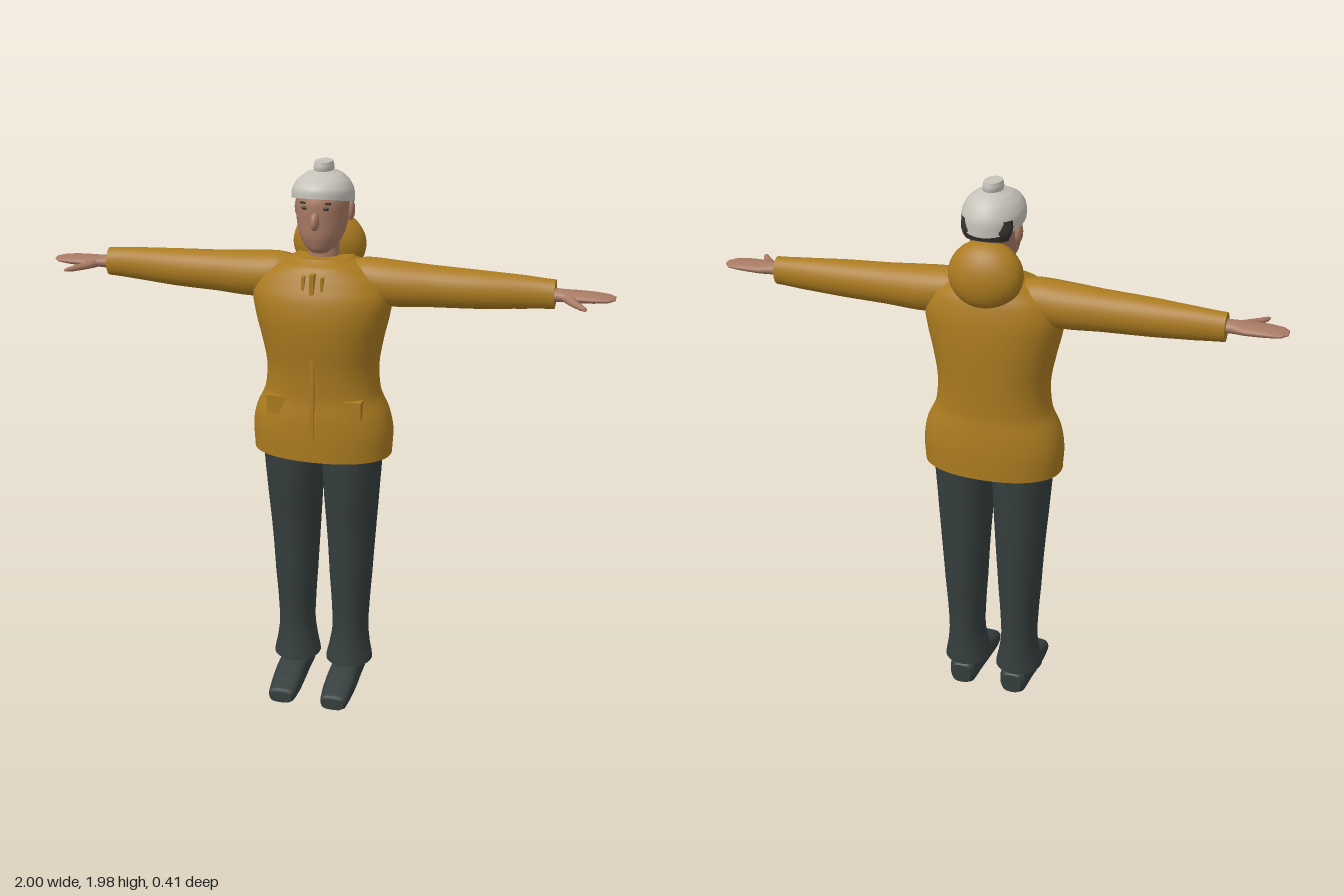
import * as THREE from 'three';

const material = (name, color) => {
  const m = new THREE.MeshStandardMaterial({ color });
  m.name = name;
  return m;
};

// Smooth loft along an axis; each section is [position, u0, u1, v0, v1].
// Bounds u, v are (y, z) for axis x, (z, x) for axis y, (x, y) for axis z.
function loft(axis, sections, { power = 2, sides = 32, steps = 4 } = {}) {
  const n = sections.length, rows = [];
  const spline = (a, b, c, d, t) =>
    0.5 * (2 * b + (c - a) * t + (2 * a - 5 * b + 4 * c - d) * t * t + (3 * b - a - 3 * c + d) * t ** 3);
  for (let i = 0; i < n - 1; i++) {
    const [a, b, c, d] = [Math.max(i - 1, 0), i, i + 1, Math.min(i + 2, n - 1)].map(k => sections[k]);
    for (let s = 0; s < steps; s++) {
      const t = s / steps;
      rows.push(b.map((_, k) => k === 0 ? b[0] + (c[0] - b[0]) * t : spline(a[k], b[k], c[k], d[k], t)));
    }
  }
  rows.push(sections[n - 1]);
  const pos = [], index = [];
  const put = (u, v, w) => pos.push(...(axis === 'x' ? [w, u, v] : axis === 'y' ? [v, w, u] : [u, v, w]));
  const bend = c => Math.sign(c) * Math.abs(c) ** (2 / power);
  const ring = ([w, u0, u1, v0, v1]) => {
    for (let i = 0; i < sides; i++) {
      const a = i / sides * Math.PI * 2;
      put((u0 + u1) / 2 + (u1 - u0) / 2 * bend(Math.cos(a)), (v0 + v1) / 2 + (v1 - v0) / 2 * bend(Math.sin(a)), w);
    }
  };
  rows.forEach(ring);
  for (let j = 0; j < rows.length - 1; j++) {
    for (let i = 0; i < sides; i++) {
      const k = (i + 1) % sides, p = j * sides, q = p + sides;
      index.push(p + i, p + k, q + k, p + i, q + k, q + i);
    }
  }
  // Flat end caps with their own vertices
  [rows[0], rows[rows.length - 1]].forEach((r, end) => {
    const base = pos.length / 3;
    ring(r);
    put((r[1] + r[2]) / 2, (r[3] + r[4]) / 2, r[0]);
    for (let i = 0; i < sides; i++) {
      const k = (i + 1) % sides;
      index.push(base + sides, base + (end ? i : k), base + (end ? k : i));
    }
  });
  const g = new THREE.BufferGeometry();
  g.setAttribute('position', new THREE.Float32BufferAttribute(pos, 3));
  g.setIndex(index);
  g.computeVertexNormals();
  return g;
}

// Reflected copy across x = 0, with the corner order reversed
function mirror(geometry) {
  const g = geometry.clone(), ix = g.index.array, p = g.attributes.position, nm = g.attributes.normal;
  for (let i = 0; i < p.count; i++) {
    p.setX(i, -p.getX(i));
    nm.setX(i, -nm.getX(i));
  }
  for (let i = 0; i < ix.length; i += 3) [ix[i], ix[i + 1]] = [ix[i + 1], ix[i]];
  return g;
}

const box = (x0, x1, y0, y1, z0, z1) =>
  new THREE.BoxGeometry(x1 - x0, y1 - y0, z1 - z0).translate((x0 + x1) / 2, (y0 + y1) / 2, (z0 + z1) / 2);
const ball = (rx, ry, rz, x, y, z, tilt = 0) =>
  new THREE.SphereGeometry(1, 28, 20).scale(rx, ry, rz).rotateX(tilt).translate(x, y, z);

export function createModel() {
  const model = new THREE.Group();
  model.name = 'standingFigure';
  const jacket = material('ochre jacket', 0xab7b20);
  const trousers = material('charcoal trousers', 0x353e3d);
  const skin = material('skin', 0xa87a64);
  const hat = material('pale hat', 0xc6c3ba);
  const hair = material('dark hair', 0x34332f);

  const add = (name, geometry, mat) => {
    const m = new THREE.Mesh(geometry, mat);
    m.name = name;
    model.add(m);
  };
  const pair = (name, geometry, mat) => {
    add(name + 'Left', geometry, mat);
    add(name + 'Right', mirror(geometry), mat);
  };

  // Jacket body, from hem to collar
  add('jacketBody', loft('y', [
    [0.95, -0.19, 0.122, -0.25, 0.25], [1.04, -0.19, 0.123, -0.254, 0.254],
    [1.11, -0.185, 0.12, -0.24, 0.24], [1.18, -0.178, 0.113, -0.208, 0.208],
    [1.28, -0.18, 0.119, -0.2, 0.2], [1.38, -0.184, 0.134, -0.217, 0.217],
    [1.47, -0.184, 0.14, -0.238, 0.238], [1.54, -0.178, 0.13, -0.245, 0.245],
    [1.6, -0.165, 0.105, -0.215, 0.215], [1.64, -0.145, 0.085, -0.155, 0.155],
    [1.665, -0.125, 0.05, -0.1, 0.1],
  ], { power: 2.2, sides: 40 }), jacket);
  add('hood', ball(0.13, 0.118, 0.083, 0, 1.688, -0.118, 0.15), jacket);
  // Zip placket and collar cords
  add('lowerPlacket', box(-0.008, 0.008, 1.04, 1.33, 0.08, 0.127), jacket);
  add('upperPlacket', box(-0.008, 0.008, 1.53, 1.63, 0.07, 0.122), jacket);
  pair('collarCord', box(0.028, 0.038, 1.565, 1.62, 0.07, 0.115), jacket);
  // Pockets
  pair('pocketFlap', box(0.04, 0.17, 1.115, 1.18, 0.04, 0.1), jacket);
  pair('pocket', box(0.045, 0.14, 1.05, 1.15, 0.04, 0.096), jacket);

  // Sleeves, hands and thumbs
  pair('sleeve', loft('x', [
    [0.1, 1.535, 1.655, -0.1, 0.025], [0.16, 1.507, 1.665, -0.112, 0.042],
    [0.26, 1.5, 1.66, -0.112, 0.042], [0.38, 1.507, 1.652, -0.105, 0.03],
    [0.55, 1.513, 1.645, -0.1, 0.018], [0.7, 1.523, 1.637, -0.094, -0.002],
    [0.8, 1.53, 1.63, -0.088, -0.008],
  ]), jacket);
  pair('hand', loft('x', [
    [0.76, 1.555, 1.605, -0.068, -0.015], [0.82, 1.56, 1.602, -0.072, -0.004],
    [0.86, 1.562, 1.6, -0.084, 0.008], [0.93, 1.565, 1.598, -0.085, 0.009],
    [0.98, 1.571, 1.592, -0.08, 0.002], [1, 1.576, 1.588, -0.06, -0.018],
  ]), skin);
  pair('thumb', loft('z', [
    [-0.02, 0.82, 0.87, 1.562, 1.597], [0.03, 0.853, 0.888, 1.563, 1.588],
    [0.07, 0.888, 0.915, 1.564, 1.582], [0.09, 0.905, 0.92, 1.568, 1.578],
  ], { sides: 16 }), skin);

  // Trousers with flared cuffs
  pair('trouserLeg', loft('y', [
    [0.108, -0.13, 0.055, 0.014, 0.188], [0.16, -0.127, 0.045, 0.025, 0.178],
    [0.23, -0.124, 0.036, 0.036, 0.17], [0.32, -0.126, 0.036, 0.034, 0.173],
    [0.45, -0.137, 0.048, 0.026, 0.182], [0.62, -0.145, 0.056, 0.016, 0.193],
    [0.82, -0.153, 0.08, 0.004, 0.208], [0.98, -0.16, 0.092, 0.001, 0.218],
  ]), trousers);
  add('trouserSeat', loft('y', [
    [0.925, -0.1, 0.04, -0.07, 0.07], [0.94, -0.14, 0.075, -0.1, 0.1], [0.99, -0.155, 0.085, -0.15, 0.15],
  ]), trousers);
  // Shoes, heel to toe
  pair('shoe', loft('z', [
    [-0.13, 0.063, 0.137, 0.025, 0.1], [-0.11, 0.05, 0.15, 0.016, 0.12],
    [-0.03, 0.047, 0.153, 0.013, 0.122], [0.05, 0.044, 0.156, 0.01, 0.108],
    [0.13, 0.044, 0.154, 0.007, 0.082], [0.19, 0.05, 0.148, 0.006, 0.061],
    [0.205, 0.058, 0.14, 0.01, 0.052],
  ], { power: 3 }), trousers);

  // Neck, head and face
  add('neck', new THREE.CylinderGeometry(0.053, 0.056, 0.14, 28).translate(0, 1.69, -0.048), skin);
  add('head', loft('y', [
    [1.688, -0.02, 0.048, -0.03, 0.03], [1.705, -0.065, 0.063, -0.053, 0.053],
    [1.745, -0.1, 0.076, -0.076, 0.076], [1.8, -0.125, 0.08, -0.088, 0.088],
    [1.86, -0.14, 0.082, -0.092, 0.092], [1.9, -0.13, 0.07, -0.084, 0.084],
  ]), skin);
  add('nose', ball(0.016, 0.032, 0.024, 0, 1.805, 0.078, -0.2), skin);
  pair('ear', ball(0.014, 0.036, 0.021, 0.092, 1.823, -0.05), skin);
  pair('eye', ball(0.012, 0.006, 0.005, 0.036, 1.848, 0.073), hair);
  pair('eyebrow', box(0.02, 0.052, 1.862, 1.868, 0.064, 0.073), hair);
  add('hair', loft('y', [
    [1.81, -0.143, -0.065, -0.075, 0.075], [1.84, -0.152, -0.06, -0.088, 0.088], [1.88, -0.15, -0.03, -0.09, 0.09],
  ]), hair);

  // Hat, its rim sloping down towards the back
  const dome = loft('y', [
    [1.857, -0.16, 0.098, -0.106, 0.106], [1.895, -0.16, 0.096, -0.104, 0.104],
    [1.925, -0.142, 0.078, -0.088, 0.088], [1.945, -0.115, 0.045, -0.064, 0.064],
    [1.958, -0.083, 0.005, -0.035, 0.035],
  ]);
  const p = dome.attributes.position;
  for (let i = 0; i < p.count; i++) {
    const fade = Math.max(0, (1.95 - p.getY(i)) / 0.093);
    p.setY(i, p.getY(i) + 0.22 * (p.getZ(i) + 0.03) * fade);
  }
  dome.computeVertexNormals();
  add('hatDome', dome, hat);
  add('hatButton', loft('y', [
    [1.95, -0.083, 0.005, -0.032, 0.032], [1.97, -0.088, 0.01, -0.034, 0.034], [1.988, -0.085, 0.007, -0.03, 0.03],
  ]), hat);
  return model;
}
